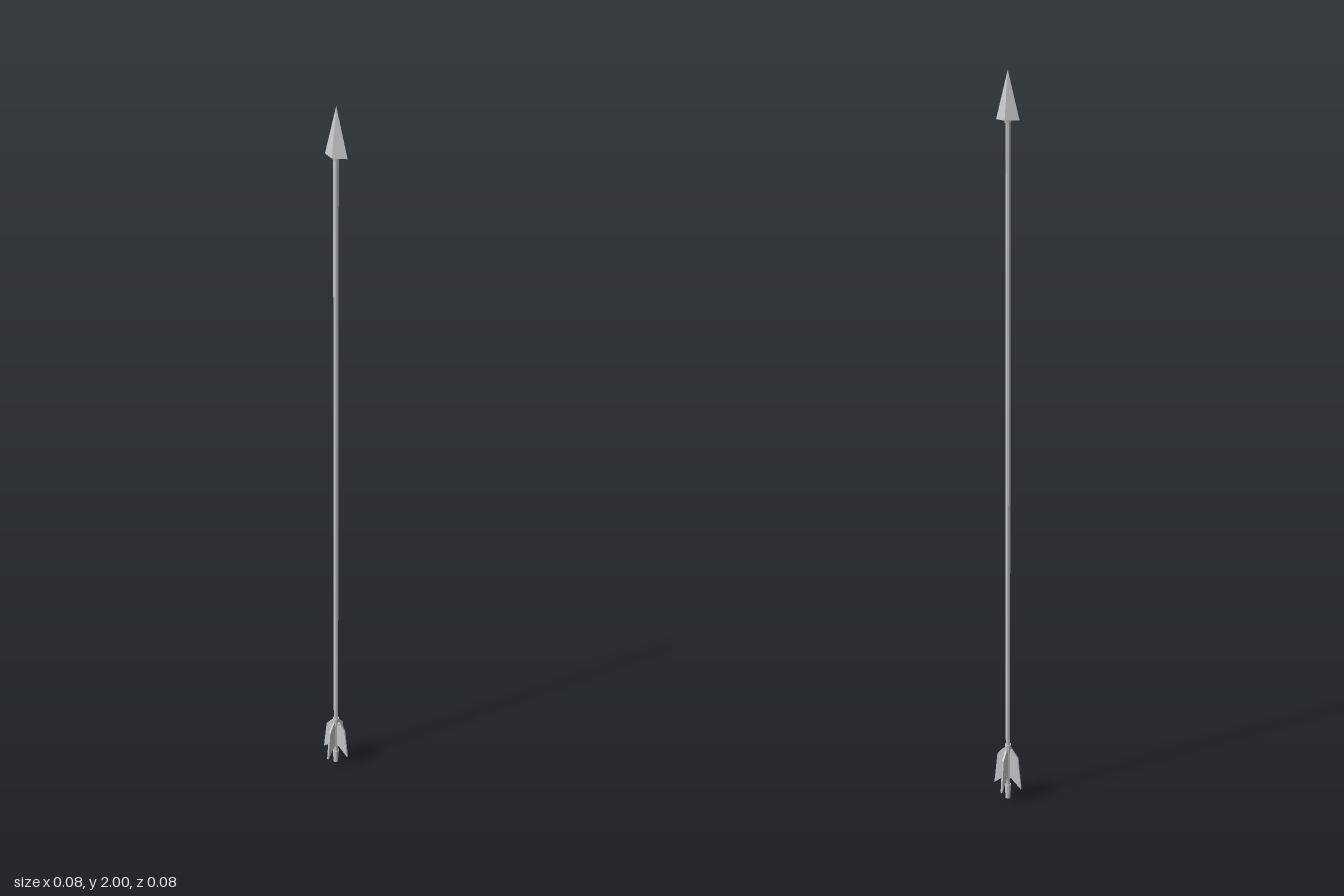
import * as THREE from 'three';

export function createModel() {
  const arrow = new THREE.Group();
  const grey = new THREE.MeshStandardMaterial({ color: 0xcccccc, flatShading: true });

  const add = (name, geometry, y = 0, z = 0) => {
    const mesh = new THREE.Mesh(geometry, grey);
    mesh.name = name;
    mesh.position.set(0, y, z);
    arrow.add(mesh);
    return mesh;
  };
  // upright eight-sided tube from y0 to y1
  const rod = (name, y0, y1, rBottom, rTop = rBottom) =>
    add(name, new THREE.CylinderGeometry(rTop, rBottom, y1 - y0, 8), (y0 + y1) / 2);

  // Shaft with its bindings and nock
  rod('shaft', 0.03, 1.9, 0.0065);
  rod('headSocket', 1.878, 1.89, 0.008, 0.01);
  rod('fletchingBinding', 0.15, 0.175, 0.009);
  rod('nockCollar', 0.018, 0.045, 0.0085);
  rod('nock', 0, 0.02, 0.007);

  // Flattened four-sided arrowhead
  const head = new THREE.ConeGeometry(1, 0.115, 4);
  head.scale(0.031, 1, 0.017);
  add('arrowhead', head, 1.9425, -0.001);

  // Four swept-back feathers
  const outline = new THREE.Shape([
    [0, 0.07], [0.012, 0.067], [0.042, 0.04], [0.032, 0.137], [0.014, 0.16], [0, 0.16],
  ].map(([x, y]) => new THREE.Vector2(x, y)));
  const thickness = 0.005;
  const feather = new THREE.ExtrudeGeometry(outline, { depth: thickness, bevelEnabled: false });
  feather.translate(0, 0, -thickness / 2);
  for (let i = 0; i < 4; i++) {
    add('feather', feather).rotation.y = i * Math.PI / 2;
  }

  return arrow;
}
